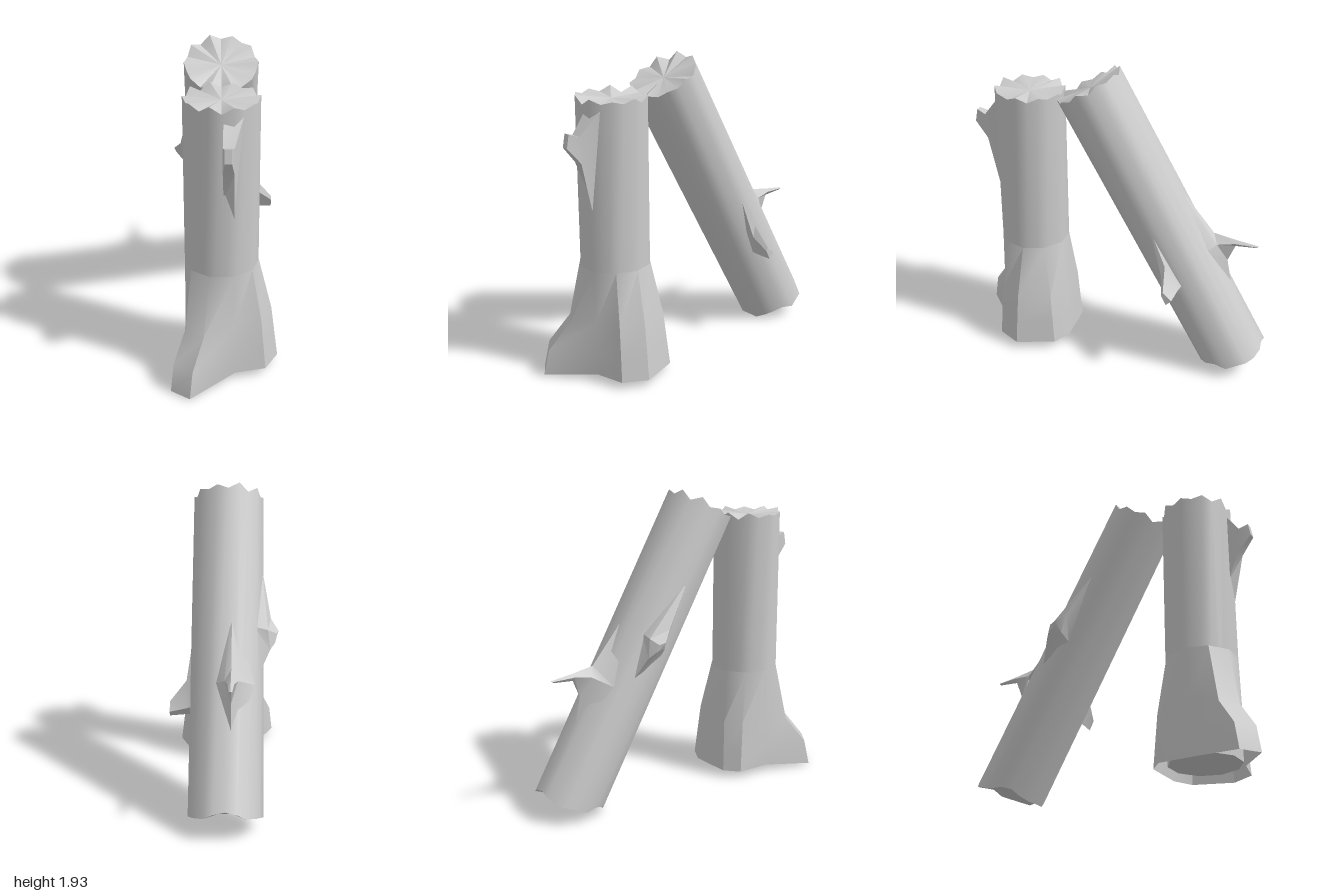
import * as THREE from 'three';
import { toCreasedNormals } from 'three/addons/utils/BufferGeometryUtils.js';

const material = new THREE.MeshStandardMaterial({ color: 0xcccccc, side: THREE.DoubleSide });
const SIDES = 10, R = 0.22;

// Joins rings of equal point count; a ring of one repeated point closes an end.
function loft(name, rings, crease = 0.65) {
  const pos = [];
  const same = (a, b) => Math.hypot(a[0] - b[0], a[1] - b[1], a[2] - b[2]) < 1e-6;
  const tri = (a, b, c) => {
    if (!same(a, b) && !same(b, c) && !same(a, c)) pos.push(...a, ...b, ...c);
  };
  for (let i = 0; i < rings.length - 1; i++) {
    const p = rings[i], q = rings[i + 1], n = p.length;
    for (let j = 0; j < n; j++) {
      const k = (j + 1) % n;
      tri(p[j], p[k], q[k]);
      tri(p[j], q[k], q[j]);
    }
  }
  const geometry = new THREE.BufferGeometry();
  geometry.setAttribute('position', new THREE.Float32BufferAttribute(pos, 3));
  const mesh = new THREE.Mesh(toCreasedNormals(geometry, crease), material);
  mesh.name = name;
  return mesh;
}

const point = (p, n) => Array(n).fill(p);
const corner = (k) => {
  const a = (k * 2 * Math.PI) / SIDES;
  return [R * Math.cos(a), R * Math.sin(a)];
};

// Ten-sided trunk with a splintered top; each side is split once for the splinters.
function trunk(name, bottom, top, topJag, bottomJag, recess) {
  const ring = (y, jag) => Array.from({ length: SIDES * 2 }, (_, j) => {
    const a = corner(Math.floor(j / 2)), b = corner(Math.ceil(j / 2));
    return [(a[0] + b[0]) / 2, y + jag(j), (a[1] + b[1]) / 2];
  });
  const n = SIDES * 2;
  return loft(name, [
    point([0, top - 0.02, 0], n), ring(top, topJag), ring(bottom, bottomJag),
    point([0, bottom + recess, 0], n),
  ]);
}

// Four-sided broken branch, closed at its tip.
function branch(name, rings) {
  const last = rings[rings.length - 1];
  const mid = [0, 1, 2].map((i) => last.reduce((s, p) => s + p[i], 0) / last.length);
  return loft(name, [...rings, point(mid, last.length)], 0.5);
}

export function createModel() {
  const model = new THREE.Group();
  const splinter = (j) => (j % 2 ? -0.022 : 0.008) + 0.008 * Math.sin(j * 2.3);

  // Standing stump
  const stump = new THREE.Group();
  stump.name = 'stump';
  const cx = -0.02, cz = 0.575;
  const stumpTrunk = trunk('stumpTrunk', 0.06, 1.742, splinter, () => 0, 0);
  stumpTrunk.position.set(cx, 0, cz);
  stump.add(stumpTrunk);

  // Flared foot with one long root: ground outline per trunk corner
  const foot = [
    [0.325, 0.6], [0.245, 0.745], [0.06, 0.79], [-0.21, 1.0], [-0.325, 0.92],
    [-0.24, 0.6], [-0.237, 0.385], [-0.15, 0.305], [0.12, 0.3], [0.24, 0.36],
  ];
  const footRing = (y, flare, rootFlare, rootY) => foot.map(([x, z], k) => {
    const root = k === 3 || k === 4;
    const [a, b] = corner(k), t = root ? rootFlare : flare;
    return [cx + a + (x - cx - a) * t, root ? rootY : y, cz + b + (z - cz - b) * t];
  });
  stump.add(loft('stumpFoot', [
    footRing(0.71, 0.01, 0.01, 0.71),
    footRing(0.38, 0.66, 0.32, 0.34),
    footRing(0.18, 0.86, 0.86, 0.17),
    footRing(0.04, 1, 1, 0.005),
  ]));

  // Upturned stub on the front of the stump
  stump.add(branch('stumpBranch', [
    [[-0.01, 1.2, 0.77], [0.05, 1.05, 0.775], [0.105, 1.7, 0.735], [-0.01, 1.68, 0.77]],
    [[-0.015, 1.39, 0.85], [0.05, 1.39, 0.85], [0.05, 1.55, 0.86], [-0.015, 1.55, 0.86]],
    [[-0.005, 1.49, 0.935], [0.035, 1.49, 0.935], [0.035, 1.57, 0.92], [-0.005, 1.57, 0.92]],
  ]));
  model.add(stump);

  // Fallen log leaning on the stump
  const log = new THREE.Group();
  log.name = 'leaningLog';
  const bottomJag = (j) => 0.035 * Math.sin((j / 20) * 2 * Math.PI)
    + 0.04 * Math.max(0, Math.sin((j / 20) * 6 * Math.PI));
  const logTrunk = trunk('logTrunk', 0, 2.0, splinter, bottomJag, 0.03);
  logTrunk.position.set(cx, 0.07, -0.805);
  logTrunk.rotation.x = 0.518;
  log.add(logTrunk);

  // Long spike on the back of the log
  log.add(branch('backBranch', [
    [[-0.05, 1.22, -0.37], [0.08, 0.8, -0.58], [-0.05, 0.5, -0.77], [-0.19, 0.8, -0.57]],
    [[-0.05, 0.91, -0.63], [-0.01, 0.85, -0.66], [-0.05, 0.73, -0.725], [-0.09, 0.85, -0.66]],
    [[-0.05, 0.885, -0.77], [-0.03, 0.865, -0.77], [-0.05, 0.84, -0.77], [-0.07, 0.865, -0.77]],
    [[-0.05, 0.865, -0.915], [-0.04, 0.86, -0.91], [-0.05, 0.85, -0.9], [-0.06, 0.86, -0.91]],
  ]));

  // Short stub on the +x side
  log.add(branch('leftBranch', [
    [[0.19, 1.0, -0.28], [0.18, 0.72, -0.36], [0.18, 0.57, -0.42], [0.18, 0.64, -0.5]],
    [[0.225, 0.77, -0.39], [0.23, 0.7, -0.37], [0.24, 0.565, -0.42], [0.235, 0.62, -0.48]],
    [[0.325, 0.645, -0.41], [0.325, 0.62, -0.4], [0.325, 0.56, -0.43], [0.325, 0.595, -0.465]],
  ]));

  // Blunt knot on the -x side
  log.add(branch('rightKnot', [
    [[-0.23, 1.4, -0.05], [-0.18, 1.1, -0.36], [-0.19, 0.78, -0.47], [-0.225, 0.95, -0.25]],
    [[-0.285, 1.12, -0.23], [-0.265, 1.08, -0.36], [-0.28, 0.965, -0.38], [-0.285, 1.0, -0.27]],
    [[-0.33, 1.06, -0.29], [-0.32, 1.05, -0.33], [-0.31, 1.0, -0.35], [-0.315, 1.02, -0.31]],
  ]));
  model.add(log);

  return model;
}
